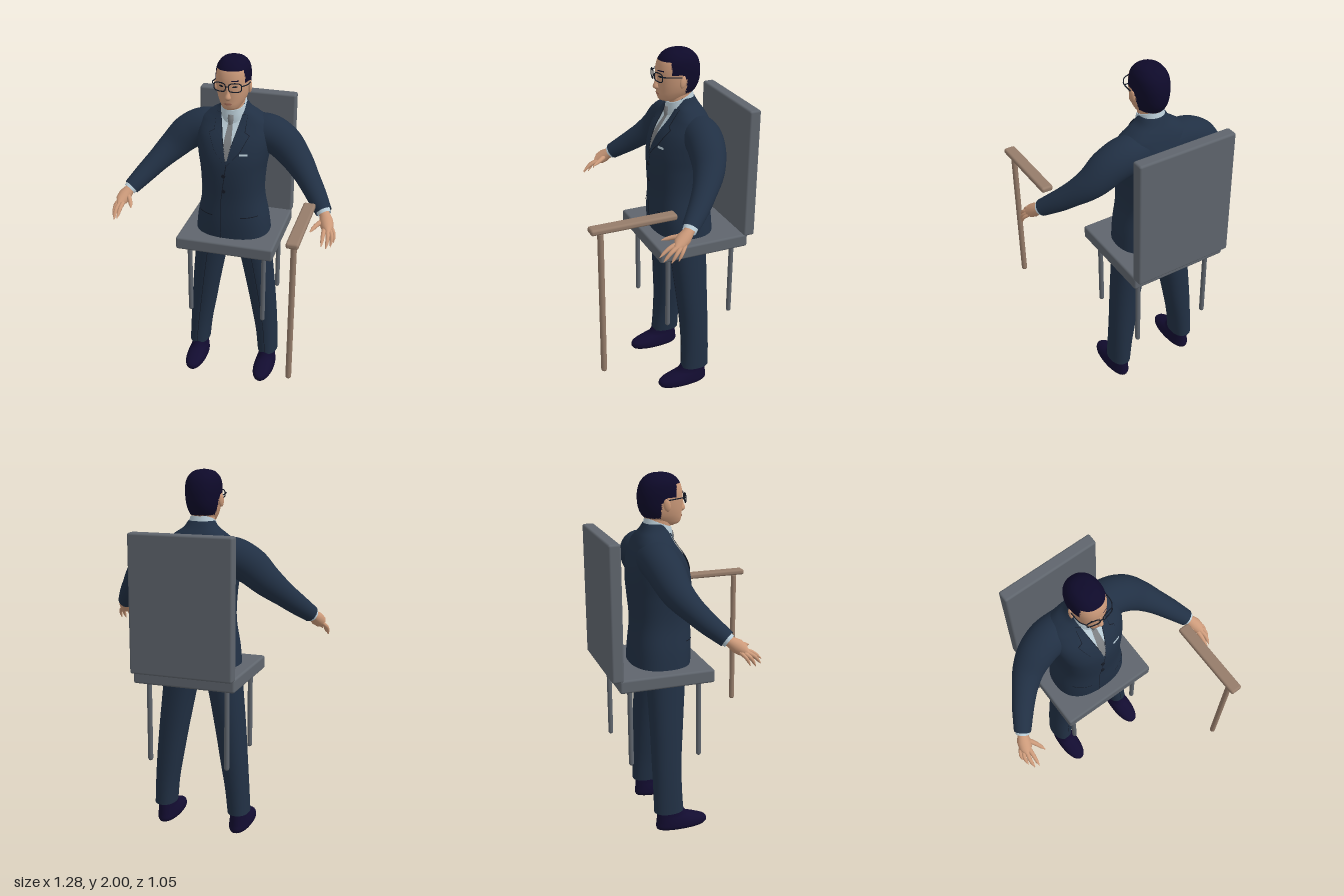
import * as THREE from 'three';
import { RoundedBoxGeometry } from 'three/addons/geometries/RoundedBoxGeometry.js';

const mat = (name, color, side = THREE.FrontSide) => new THREE.MeshStandardMaterial({ name, color, side });
const M = {
  suit: mat('navy cloth', 0x213044, THREE.DoubleSide), dark: mat('dark trim', 0x141a26, THREE.DoubleSide),
  chair: mat('grey chair', 0x5f656d), cane: mat('brown wood', 0x957c6a), skin: mat('skin', 0xcc9a7a),
  hair: mat('hair', 0x0e0a2a), shoe: mat('shoe leather', 0x120c30), shirt: mat('pale shirt', 0xb9ccd6, THREE.DoubleSide),
  tie: mat('grey tie', 0x7d8083, THREE.DoubleSide), lip: mat('lips', 0xa8705c, THREE.DoubleSide),
};

// Cross-section at height y; rows are [y, zBack, zFront, halfWidth, centreX]
function section(rows, y) {
  let i = 0;
  while (i < rows.length - 2 && y > rows[i + 1][0]) i++;
  const a = rows[i], b = rows[i + 1], h = b[0] - a[0], t = (y - a[0]) / h;
  const slope = (k, c) => {
    const p = rows[Math.max(k - 1, 0)], q = rows[Math.min(k + 1, rows.length - 1)];
    return (q[c] - p[c]) / (q[0] - p[0]);
  };
  const v = c => (2 * t ** 3 - 3 * t * t + 1) * a[c] + (t ** 3 - 2 * t * t + t) * h * slope(i, c)
    + (3 * t * t - 2 * t ** 3) * b[c] + (t ** 3 - t * t) * h * slope(i + 1, c);
  return { cz: (v(1) + v(2)) / 2, rz: (v(2) - v(1)) / 2, hw: v(3), cx: v(4) };
}

// Smooth stack of rounded cross-sections; pick(y, z) chooses the material of each face
function loft(rows, { seg = 40, sub = 5, n = 2.2, pick = () => 0, shear = 0 } = {}) {
  rows = rows.map(r => [r[0], r[1], r[2], r[3], r[4] ?? 0]);
  const pos = [], lists = [[], []], ys = [];
  for (let i = 0; i < rows.length - 1; i++)
    for (let k = 0; k < sub; k++) ys.push(rows[i][0] + (rows[i + 1][0] - rows[i][0]) * k / sub);
  ys.push(rows.at(-1)[0]);
  const pw = v => Math.sign(v) * Math.abs(v) ** (2 / n);
  const ring = y => {
    const s = section(rows, y);
    for (let i = 0; i < seg; i++) {
      const a = i / seg * Math.PI * 2, z = s.cz + s.rz * pw(Math.sin(a));
      pos.push(s.cx + s.hw * pw(Math.cos(a)), y - (z - s.cz) * shear, z);
    }
    return s;
  };
  ys.forEach(ring);
  const face = (...f) => {
    const m = c => f.reduce((t, k) => t + pos[k * 3 + c], 0) / 3;
    lists[pick(m(1), m(2))].push(...f);
  };
  for (let j = 0; j < ys.length - 1; j++) for (let i = 0; i < seg; i++) {
    const a = j * seg + i, b = j * seg + (i + 1) % seg;
    face(a, a + seg, b); face(b, a + seg, b + seg);
  }
  [ys[0], ys.at(-1)].forEach((y, top) => {
    const base = pos.length / 3, s = ring(y);
    pos.push(s.cx, y, s.cz);
    for (let i = 0; i < seg; i++) {
      const a = base + i, b = base + (i + 1) % seg;
      top ? face(base + seg, b, a) : face(base + seg, a, b);
    }
  });
  const g = new THREE.BufferGeometry();
  g.setAttribute('position', new THREE.Float32BufferAttribute(pos, 3));
  g.setIndex([...lists[0], ...lists[1]]);
  g.addGroup(0, lists[0].length, 0);
  if (lists[1].length) g.addGroup(lists[0].length, lists[1].length, 1);
  g.computeVertexNormals();
  return g;
}

// Thin strip lying on the front of a loft; strip is [y, xLeft, xRight] from bottom to top
function decal(rows, strip, off, n = 2.2) {
  rows = rows.map(r => [r[0], r[1], r[2], r[3], r[4] ?? 0]);
  const pos = [], idx = [], nx = 8, ny = 6;
  let count = 0;
  for (let i = 0; i < strip.length - 1; i++) for (let k = i ? 1 : 0; k <= ny; k++, count++) {
    const [y, l, r] = strip[i].map((v, c) => v + (strip[i + 1][c] - v) * k / ny), s = section(rows, y);
    for (let j = 0; j <= nx; j++) {
      const x = l + (r - l) * j / nx, u = Math.min(1, Math.abs((x - s.cx) / s.hw));
      pos.push(x, y, s.cz + s.rz * (1 - u ** n) ** (1 / n) + off);
    }
  }
  for (let j = 0; j < count - 1; j++) for (let i = 0; i < nx; i++) {
    const a = j * (nx + 1) + i, b = a + nx + 1;
    idx.push(a, a + 1, b, a + 1, b + 1, b);
  }
  const g = new THREE.BufferGeometry();
  g.setAttribute('position', new THREE.Float32BufferAttribute(pos, 3));
  g.setIndex(idx);
  g.computeVertexNormals();
  return g;
}

// Tube through points whose radius changes along its length
function limb(points, radii, closed = false, steps = 24, sides = 20) {
  const curve = new THREE.CatmullRomCurve3(points.map(p => new THREE.Vector3(...p)), closed);
  const g = new THREE.TubeGeometry(curve, steps, 1, sides, closed), p = g.attributes.position, v = new THREE.Vector3();
  for (let j = 0; j <= steps; j++) {
    const c = curve.getPointAt(j / steps), f = j / steps * (radii.length - 1), i = Math.min(Math.floor(f), radii.length - 2);
    const r = radii.length < 2 ? radii[0] : radii[i] + (radii[i + 1] - radii[i]) * (f - i);
    for (let k = 0; k <= sides; k++) {
      const q = j * (sides + 1) + k;
      v.fromBufferAttribute(p, q).sub(c).multiplyScalar(r).add(c);
      p.setXYZ(q, v.x, v.y, v.z);
    }
  }
  return g;
}

const TORSO = [[0.9, -.36, -.02, .222], [1.05, -.35, -.01, .205], [1.2, -.338, -.01, .178], [1.35, -.35, -.003, .184],
  [1.45, -.355, -.01, .2], [1.55, -.342, -.045, .21], [1.63, -.315, -.1, .19], [1.67, -.295, -.12, .14],
  [1.7, -.275, -.128, .095], [1.735, -.255, -.14, .07]];
const HEAD = [[1.718, -.16, -.09, .03], [1.728, -.19, -.06, .044], [1.75, -.235, -.048, .06], [1.78, -.265, -.045, .075],
  [1.82, -.282, -.042, .086], [1.87, -.287, -.04, .092], [1.91, -.283, -.044, .093], [1.95, -.268, -.058, .086],
  [1.98, -.24, -.085, .066], [1.994, -.21, -.115, .042], [2, -.17, -.15, .008]];

export function createModel() {
  const root = new THREE.Group();
  const add = (name, geo, m, x = 0, y = 0, z = 0) => {
    const mesh = new THREE.Mesh(geo, m);
    mesh.name = name;
    mesh.position.set(x, y, z);
    root.add(mesh);
    return mesh;
  };
  const block = (name, w, h, d, m, x, y, z) => add(name, new RoundedBoxGeometry(w, h, d, 3, 0.012), m, x, y, z);

  // Chair and walking stick
  block('seat', .57, .075, .535, M.chair, 0, .923, -.215);
  block('chairBack', .57, .745, .067, M.chair, 0, 1.322, -.492);
  for (const x of [-.222, .222]) for (const z of [-.02, -.415])
    add('chairLeg', new THREE.CapsuleGeometry(.014, .45, 4, 14), M.chair, x, .67, z);
  add('stickPost', new THREE.CapsuleGeometry(.016, .81, 4, 16), M.cane, .487, .851, .47);
  block('stickHandle', .066, .032, .465, M.cane, .487, 1.285, .295);

  // Jacket with shirt front, lapels and trim
  add('jacket', loft(TORSO, { n: 2.4, seg: 64 }), M.suit);
  const onTorso = (name, strip, off, m) => add(name, decal(TORSO, strip, off, 2.4), m);
  onTorso('shirtFront', [[1.45, 0, 0], [1.6, -.045, .045], [1.69, -.06, .06]], .003, M.shirt);
  onTorso('tie', [[1.45, -.006, .006], [1.52, -.024, .024], [1.65, -.012, .012]], .006, M.tie);
  add('tieKnot', loft([[1.63, -.14, -.088, .012], [1.66, -.14, -.086, .018], [1.685, -.14, -.092, .017]], { seg: 16 }), M.tie);
  for (const s of [-1, 1]) {
    const lapel = e => [[1.42 - e, 0, 0], [1.5, s * (.015 - e), s * (.07 + e)], [1.585, s * (.038 - e), s * (.112 + e)],
      [1.6, s * (.042 - e), s * (.085 + e)], [1.685, s * .06, s * .088]];
    onTorso('lapelEdge', lapel(.003), .006, M.dark);
    onTorso('lapel', lapel(0), .009, M.suit);
    onTorso('pocketFlap', [[1.1, s * .08, s * .17], [1.105, s * .08, s * .17]], .004, M.dark);
  }
  onTorso('frontSeam', [[.96, -.035, -.032], [1.2, -.032, -.029], [1.42, -.002, .002]], .003, M.dark);
  onTorso('pocketSquare', [[1.482, .07, .115], [1.494, .07, .115]], .005, M.shirt);
  for (const y of [1.265, 1.36]) {
    const s = section(TORSO.map(r => [...r, 0]), y);
    const button = add('button', new THREE.CylinderGeometry(.011, .011, .008, 16), M.dark, -.013, y, s.cz + s.rz + .003);
    button.rotation.x = Math.PI / 2;
  }
  add('shirtCollar', loft([[1.655, -.262, -.1, .078], [1.7, -.255, -.1, .074], [1.738, -.247, -.105, .068]], { shear: .4 }), M.shirt);

  // Head, neck and hair
  add('neck', loft([[1.63, -.24, -.115, .06], [1.7, -.238, -.11, .06], [1.79, -.24, -.1, .06]]), M.skin);
  const hairline = z => z > -.095 ? 1.945 : z > -.15 ? 1.875 : z > -.18 ? 1.85 : 1.765;
  add('head', loft(HEAD, { seg: 80, sub: 7, pick: (y, z) => +(y > hairline(z)) }), [M.skin, M.hair]);
  add('nose', loft([[1.788, -.07, -.036, .011], [1.802, -.07, -.021, .017], [1.83, -.07, -.03, .011], [1.87, -.07, -.036, .007]], { seg: 20 }), M.skin);
  const onHead = (name, strip, m) => add(name, decal(HEAD, strip, .003), m);
  onHead('mouth', [[1.76, -.014, .014], [1.766, -.025, .025], [1.771, -.014, .014]], M.lip);
  for (const s of [-1, 1]) {
    onHead('eyebrow', [[1.893, s * .018, s * .058], [1.899, s * .02, s * .056]], M.hair);
    onHead('eye', [[1.86, s * .03, s * .044], [1.865, s * .024, s * .052], [1.87, s * .03, s * .044]], M.dark);
    const ear = add('ear', new THREE.SphereGeometry(1, 20, 14), M.skin, s * .094, 1.838, -.153);
    ear.scale.set(.01, .034, .019);
    ear.rotation.set(-.15, s * .3, 0);
    // Glasses
    const rim = [[-1, -.6], [-.75, -1], [.75, -1], [1, -.6], [1, .6], [.75, 1], [-.75, 1], [-1, .6]]
      .map(([x, y]) => [s * .042 + x * .032, 1.864 + y * .021, -.024 - Math.abs(s * .042 + x * .032) * .25]);
    add('glassesRim', limb(rim, [.003], true, 40, 8), M.dark);
    add('glassesTemple', limb([[s * .074, 1.872, -.042], [s * .094, 1.872, -.075], [s * .097, 1.862, -.16]], [.003], false, 10, 8), M.dark);
  }
  add('glassesBridge', limb([[-.01, 1.868, -.026], [0, 1.871, -.024], [.01, 1.868, -.026]], [.003], false, 6, 8), M.dark);

  for (const s of [-1, 1]) {
    const mirror = pts => pts.map(([x, y, z]) => [x * s, y, z]);
    // Sleeve, cuff and hand
    add('sleeve', limb(mirror([[.09, 1.555, -.225], [.19, 1.552, -.225], [.27, 1.515, -.215], [.36, 1.43, -.185], [.465, 1.323, -.095], [.555, 1.228, .01]]),
      [.105, .105, .098, .082, .066, .057, .046], false, 40, 32), M.suit);
    add('cuff', limb(mirror([[.545, 1.238, -.002], [.563, 1.218, .02]]), [.039, .037], false, 4, 24), M.shirt);
    add('palm', limb(mirror([[.55, 1.232, 0], [.572, 1.205, .04], [.588, 1.178, .078], [.6, 1.155, .11]]), [.026, .03, .038, .034, .008]), M.skin);
    const finger = (name, pts, r) => add(name, limb(mirror(pts), [r, r, r * .9, r * .75, r * .15], false, 16, 12), M.skin);
    finger('indexFinger', [[.576, 1.17, .09], [.578, 1.15, .14], [.58, 1.112, .19]], .012);
    finger('middleFinger', [[.592, 1.165, .09], [.604, 1.14, .137], [.603, 1.095, .178]], .012);
    finger('ringFinger', [[.605, 1.165, .08], [.622, 1.135, .115], [.622, 1.09, .143]], .011);
    finger('littleFinger', [[.608, 1.17, .06], [.63, 1.14, .087], [.633, 1.1, .108]], .01);
    finger('thumb', [[.565, 1.2, .05], [.532, 1.185, .1], [.508, 1.168, .15]], .014);
    for (let k = 0; k < 3; k++)
      add('sleeveButton', new THREE.SphereGeometry(.007, 10, 8), M.dark, s * (.568 - k * .016), 1.238 + k * .016, -.034 - k * .018);

    // Trouser leg with pressed crease
    const leg = [[.11, -.285, -.115, .06, s * .221], [.25, -.285, -.12, .065, s * .21], [.4, -.285, -.117, .074, s * .192],
      [.6, -.285, -.1, .084, s * .166], [.85, -.29, -.075, .097, s * .128], [.95, -.3, -.06, .107, s * .108]];
    add('trouserLeg', loft(leg), M.suit);
    add('trouserCrease', decal(leg, leg.map(r => [r[0], r[4] - .0015, r[4] + .0015]), .002), M.dark);
    // Shoe
    add('shoe', loft([[0, -.27, .018, .052], [.015, -.275, .028, .061], [.04, -.272, .02, .06], [.062, -.27, -.03, .054],
      [.085, -.268, -.09, .047], [.14, -.262, -.125, .043]].map(r => [...r, s * .218])), M.shoe);
  }
  return root;
}
